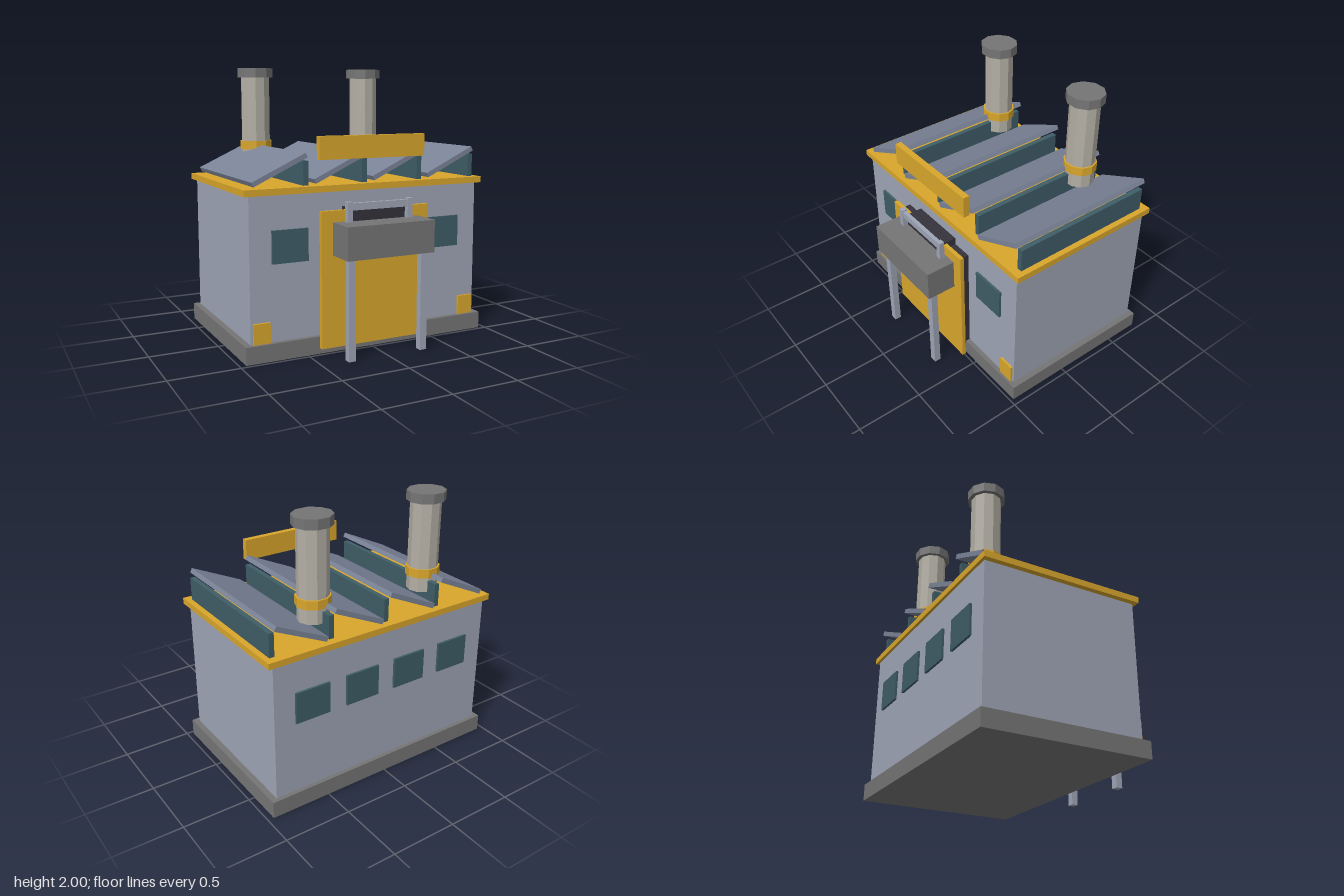
import * as THREE from 'three';

const mat = (color) => new THREE.MeshStandardMaterial({ color, flatShading: true });

export function createModel() {
  const model = new THREE.Group();
  model.name = 'factory';
  const wall = mat(0x9ea5b5), roof = mat(0x7b8498), yellow = mat(0xd9a62c);
  const glass = mat(0x3f5d67), dark = mat(0x34323b), stone = mat(0x757575), flue = mat(0xb3afa5);

  // Box given by its extents on each axis
  function box(name, material, [x0, x1], [y0, y1], [z0, z1]) {
    const mesh = new THREE.Mesh(new THREE.BoxGeometry(x1 - x0, y1 - y0, z1 - z0), material);
    mesh.position.set((x0 + x1) / 2, (y0 + y1) / 2, (z0 + z1) / 2);
    mesh.name = name;
    model.add(mesh);
    return mesh;
  }

  // Main building
  box('foundation', stone, [-0.955, 0.955], [0, 0.125], [-0.765, 0.475]);
  box('walls', wall, [-0.91, 0.91], [0.125, 1.14], [-0.735, 0.44]);
  box('roofTrim', yellow, [-0.95, 0.95], [1.14, 1.185], [-0.757, 0.466]);

  // Sawtooth roof: sloping panel and upright glazing per bay
  for (let i = 0; i < 4; i++) {
    const x = -0.682 + i * 0.456;
    const panel = box('roofPanel', roof, [x - 0.217, x + 0.217], [1.288, 1.323], [-0.735, 0.438]);
    panel.rotation.z = 0.436;
    box('skylight', glass, [x + 0.184, x + 0.222], [1.185, 1.355], [-0.695, 0.405]);
  }

  // Chimneys
  for (const x of [-0.494, 0.456]) {
    const chimney = new THREE.Group();
    chimney.name = 'chimney';
    chimney.position.set(x, 0, -0.513);
    chimney.scale.z = 0.96;
    const parts = [
      ['shaft', flue, 0.113, 1.27, 1.93],
      ['band', yellow, 0.126, 1.38, 1.445],
      ['cap', stone, 0.142, 1.93, 2.0],
    ];
    for (const [name, material, r, y0, y1] of parts) {
      const mesh = new THREE.Mesh(
        new THREE.CylinderGeometry(r, r, y1 - y0, 10, 1, false, Math.PI / 2), material);
      mesh.position.y = (y0 + y1) / 2;
      mesh.name = name;
      chimney.add(mesh);
    }
    model.add(chimney);
  }

  // Sign board above the front edge
  box('signBoard', yellow, [-0.418, 0.415], [1.365, 1.525], [0.453, 0.5]);

  // Entrance
  box('doorFrame', dark, [-0.375, 0.375], [0.1, 0.975], [0.43, 0.515]);
  box('door', yellow, [-0.427, 0.423], [0.055, 1.02], [0.514, 0.544]);
  box('ventBox', dark, [-0.22, 0.22], [0.8, 1.03], [0.44, 0.563]);
  box('canopy', stone, [-0.34, 0.34], [0.71, 0.94], [0.543, 0.765]);
  box('railBar', wall, [-0.22, 0.22], [1.02, 1.07], [0.568, 0.598]);

  // Mirrored front details
  for (const s of [-1, 1]) {
    const span = (a, b) => (s > 0 ? [a, b] : [-b, -a]);
    box('railPost', wall, span(0.218, 0.258), [0.93, 1.08], [0.563, 0.603]);
    box('canopyLeg', wall, span(0.257, 0.31), [0, 0.71], [0.675, 0.725]);
    box('frontWindow', glass, span(0.484, 0.751), [0.67, 0.9], [0.43, 0.457]);
    box('cornerBlock', yellow, span(0.77, 0.893), [0.125, 0.27], [0.43, 0.457]);
  }

  // Row of windows on the back wall
  for (let i = 0; i < 4; i++) {
    const x = (i - 1.5) * 0.41;
    box('backWindow', glass, [x - 0.135, x + 0.135], [0.67, 0.9], [-0.752, -0.725]);
  }
  return model;
}
